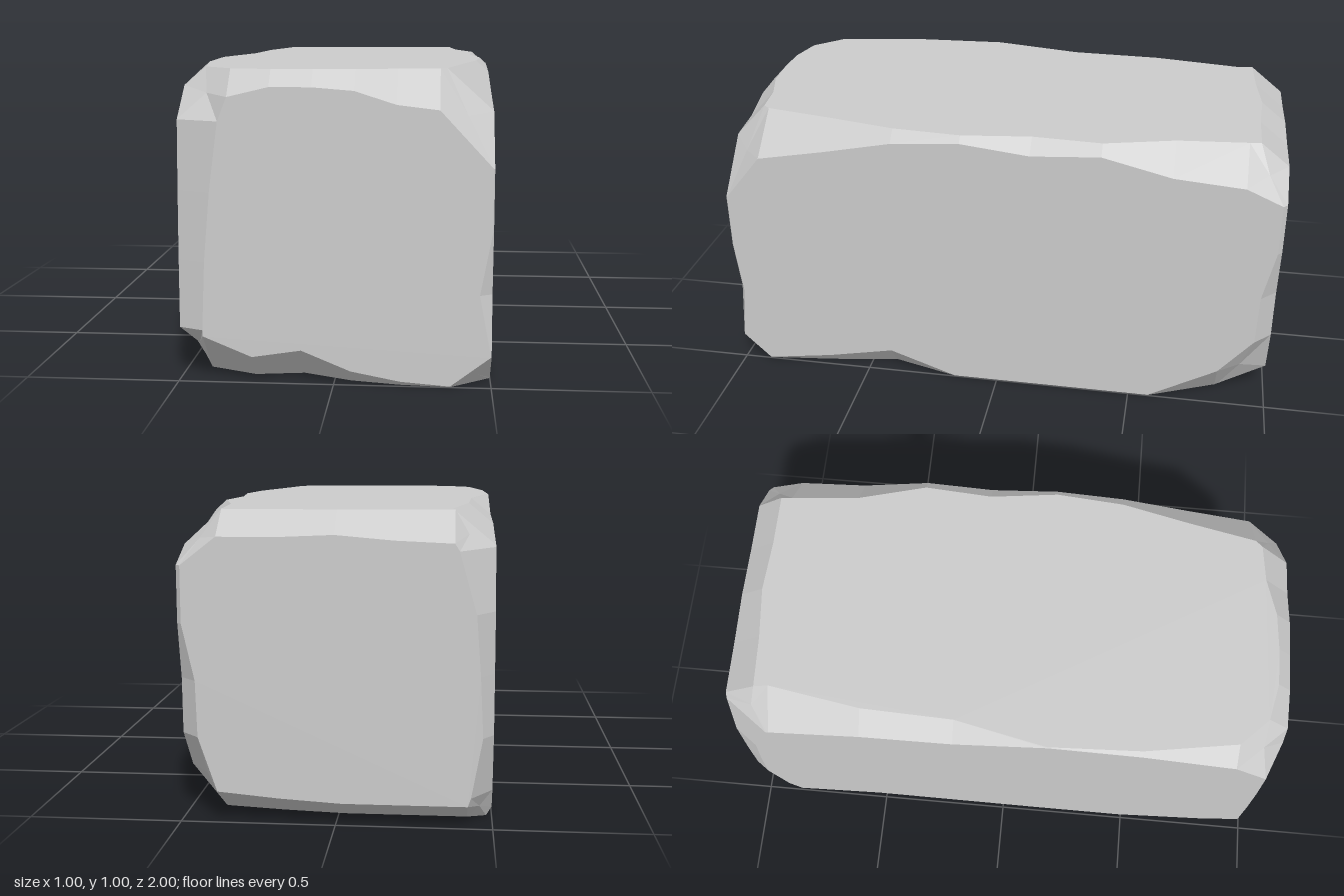
import * as THREE from 'three';

const HALF = [0.5, 0.5, 1];
const SIGNS = [-1, 1];

// Chipped edges by direction (0 = x, 1 = y, 2 = z). The key gives the signs of the
// next two axes i, j. Chip depths are evenly spaced between from and to; each is the
// inset on face i, and depth * ratio is the inset on face j.
const EDGES = [
  {
    '1,1': { from: -.33, to: .33, ratio: 1.05, depths: [.08, .05, .05, .06, .1, .115] },
    '-1,1': { from: -.42, to: .37, ratio: 1, depths: [.15, .085, .11, .045, .015, 0] },
    '1,-1': { from: -.37, to: .37, ratio: .8, depths: [.12, .11, .09, .1, .1] },
    '-1,-1': { from: -.42, to: .38, ratio: .6, depths: [.12, .12, .12, .14, .17] },
  },
  {
    '1,1': { from: -.4, to: .2, ratio: .6, depths: [0, .04, 0, 0] },
    '1,-1': { from: -.33, to: .34, ratio: .42, depths: [.08, .09, .11, .14] },
    '-1,1': { from: -.22, to: .33, ratio: 1, depths: [.06, .055, .015, .015] },
    '-1,-1': { from: -.4, to: .38, ratio: 1.4, depths: [.07, .035, .045, .06, .115] },
  },
  {
    '1,1': { from: -.86, to: .86, ratio: 1.1, depths: [.115, .095, .035, .05, .022, .04, .09, .135] },
    '1,-1': { from: -.82, to: .9, ratio: .8, depths: [.14, 0, 0, 0, 0, .09, .04, 0] },
    '-1,1': { from: -.83, to: .82, ratio: 1.2, depths: [.115, .07, .06, 0, .015, .06] },
    '-1,-1': { from: -.86, to: .82, ratio: .6, depths: [.03, .07, .065, .06, .06, .12] },
  },
];

// Points of the edge along axis k, with corner signs s, lying on the face of axis d
function edgePoints(k, s, d) {
  const i = (k + 1) % 3, j = (k + 2) % 3;
  const { from, to, ratio, depths } = EDGES[k][`${s[i]},${s[j]}`];
  return depths.map((depth, n) => {
    const inset = Math.max(depth * (d === i ? 1 : ratio), 0.003);
    const p = new THREE.Vector3();
    p.setComponent(k, from + (to - from) * n / (depths.length - 1));
    p.setComponent(i, s[i] * (HALF[i] - (d === j ? inset : 0)));
    p.setComponent(j, s[j] * (HALF[j] - (d === i ? inset : 0)));
    return p;
  });
}

function buildStone() {
  const out = [];
  // Adds a triangle turned away from the block's centre
  const tri = (a, b, c) => {
    const n = b.clone().sub(a).cross(c.clone().sub(a));
    if (n.lengthSq() < 1e-14) return;
    const mid = a.clone().add(b).add(c);
    for (const p of n.dot(mid) > 0 ? [a, b, c] : [a, c, b]) out.push(p.x, p.y + HALF[1], p.z);
  };

  // Six flat faces with ragged outlines
  for (let d = 0; d < 3; d++) {
    const u = (d + 1) % 3, v = (d + 2) % 3;
    for (const side of SIGNS) {
      const edge = (axis, other, sign) => {
        const s = [1, 1, 1];
        s[d] = side;
        s[other] = sign;
        return edgePoints(axis, s, d);
      };
      const loop = [
        ...edge(u, v, -1), ...edge(v, u, 1),
        ...edge(u, v, 1).reverse(), ...edge(v, u, -1).reverse(),
      ];
      const flat = loop.map((p) => new THREE.Vector2(p.getComponent(u), p.getComponent(v)));
      for (const [a, b, c] of THREE.ShapeUtils.triangulateShape(flat, [])) tri(loop[a], loop[b], loop[c]);
    }
  }

  // Twelve chipped bevel strips
  for (let k = 0; k < 3; k++) for (const si of SIGNS) for (const sj of SIGNS) {
    const i = (k + 1) % 3, j = (k + 2) % 3;
    const s = [1, 1, 1];
    s[i] = si;
    s[j] = sj;
    const a = edgePoints(k, s, i), b = edgePoints(k, s, j);
    for (let n = 0; n < a.length - 1; n++) {
      tri(a[n], a[n + 1], b[n]);
      tri(b[n], a[n + 1], b[n + 1]);
    }
  }

  // Eight broken corners, each closing the ends of three strips
  for (const x of SIGNS) for (const y of SIGNS) for (const z of SIGNS) {
    const s = [x, y, z];
    const ring = [[0, 2], [1, 2], [1, 0], [2, 0], [2, 1], [0, 1]]
      .map(([k, d]) => edgePoints(k, s, d).at(s[k] > 0 ? -1 : 0));
    const mid = ring.reduce((m, p) => m.add(p), new THREE.Vector3()).divideScalar(6);
    ring.forEach((p, n) => tri(mid, p, ring[(n + 1) % 6]));
  }

  const geometry = new THREE.BufferGeometry();
  geometry.setAttribute('position', new THREE.Float32BufferAttribute(out, 3));
  geometry.computeVertexNormals();
  return geometry;
}

export function createModel() {
  const group = new THREE.Group();
  group.name = 'stoneBlock';
  const material = new THREE.MeshStandardMaterial({ color: 0xcccccc, flatShading: true });
  const stone = new THREE.Mesh(buildStone(), material);
  stone.name = 'chippedStone';
  group.add(stone);
  return group;
}
